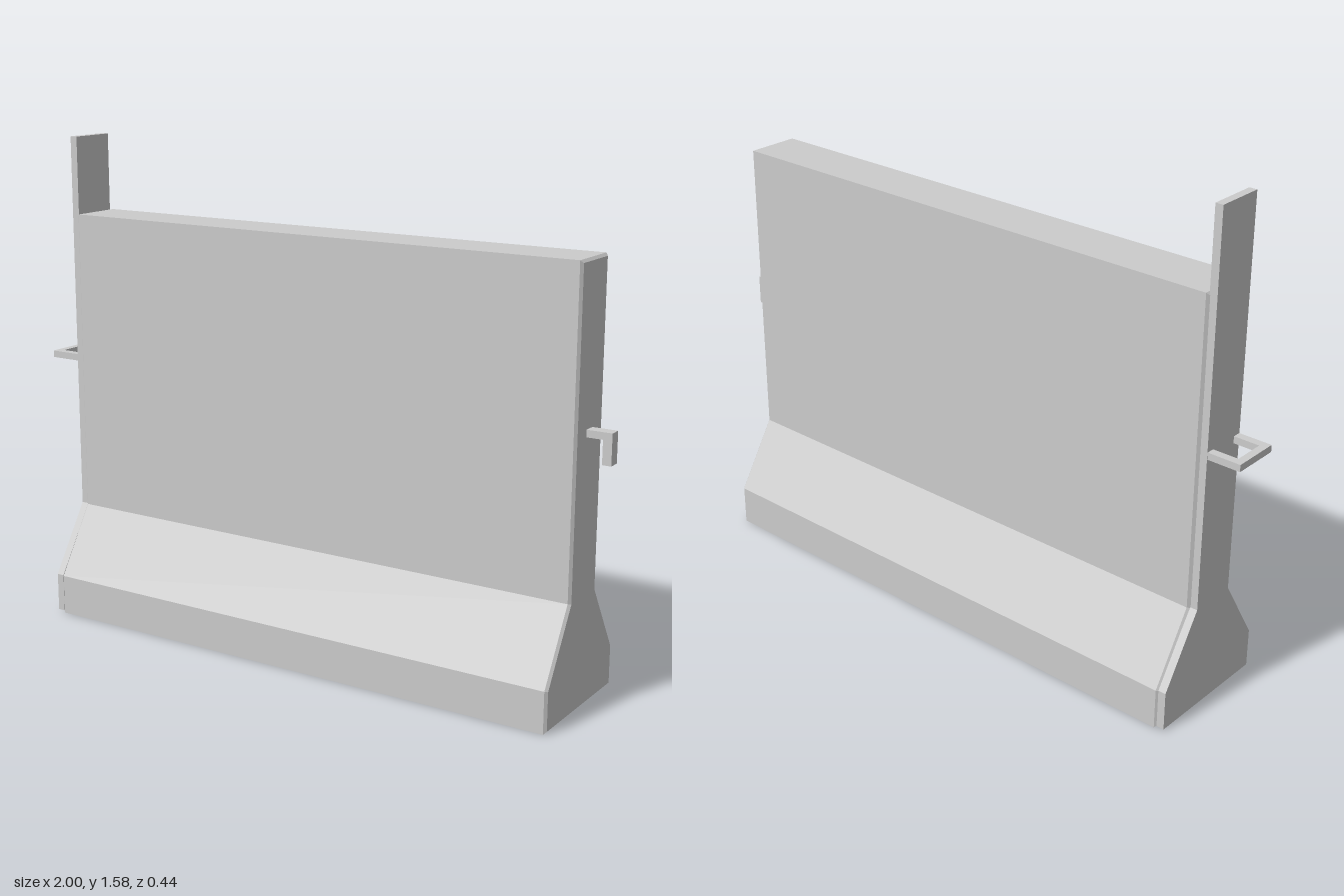
import * as THREE from 'three';

const material = new THREE.MeshStandardMaterial({ color: 0xcccccc, flatShading: true });

// Symmetric barrier cross-section: wide foot, sloped shoulder, narrow wall
function profile(foot, wall, base, top) {
  const side = [[foot, base], [foot, 0.13], [wall, 0.348], [wall, top]];
  const mirrored = side.map(([z, y]) => [-z, y]).reverse();
  return new THREE.Shape([...side, ...mirrored].map(([z, y]) => new THREE.Vector2(z, y)));
}

// Extrudes a cross-section along x between x0 and x1, with an optional chamfer
function extrudeAlongX(name, shape, x0, x1, bevel) {
  const geometry = new THREE.ExtrudeGeometry(shape, {
    depth: x1 - x0 - 2 * bevel,
    bevelEnabled: bevel > 0,
    bevelThickness: bevel,
    bevelSize: bevel,
    bevelOffset: -bevel,
    bevelSegments: 1,
  });
  geometry.rotateY(Math.PI / 2).translate(x0 + bevel, 0, 0);
  const mesh = new THREE.Mesh(geometry, material);
  mesh.name = name;
  return mesh;
}

// Box given by its minimum and maximum corners
function box(name, [x0, y0, z0], [x1, y1, z1]) {
  const mesh = new THREE.Mesh(new THREE.BoxGeometry(x1 - x0, y1 - y0, z1 - z0), material);
  mesh.name = name;
  mesh.position.set((x0 + x1) / 2, (y0 + y1) / 2, (z0 + z1) / 2);
  return mesh;
}

export function createModel() {
  const model = new THREE.Group();
  model.name = 'barrier';

  // Main wall and the taller plate on its right end
  model.add(extrudeAlongX('barrierBody', profile(0.22, 0.086, 0, 1.33), -0.87, 0.922, 0.008));
  model.add(extrudeAlongX('endPlate', profile(0.215, 0.078, 0.005, 1.58), -0.893, -0.868, 0));

  // Flat U-shaped loop on the plate
  const loop = new THREE.Shape([
    [-0.89, -0.077], [-1, -0.077], [-1, 0.077], [-0.89, 0.077],
    [-0.89, 0.051], [-0.976, 0.051], [-0.976, -0.051], [-0.89, -0.051],
  ].map(([x, z]) => new THREE.Vector2(x, z)));
  const loopGeometry = new THREE.ExtrudeGeometry(loop, { depth: 0.022, bevelEnabled: false });
  loopGeometry.rotateX(-Math.PI / 2).translate(0, 0.839, 0);
  const loopMesh = new THREE.Mesh(loopGeometry, material);
  loopMesh.name = 'couplingLoop';
  model.add(loopMesh);

  // Downward hook on the left end
  const hook = new THREE.Group();
  hook.name = 'couplingHook';
  hook.add(
    box('hookArm', [0.918, 0.823, -0.019], [0.972, 0.845, 0.019]),
    box('hookTip', [0.972, 0.75, -0.019], [1, 0.845, 0.019]),
  );
  model.add(hook);

  return model;
}
